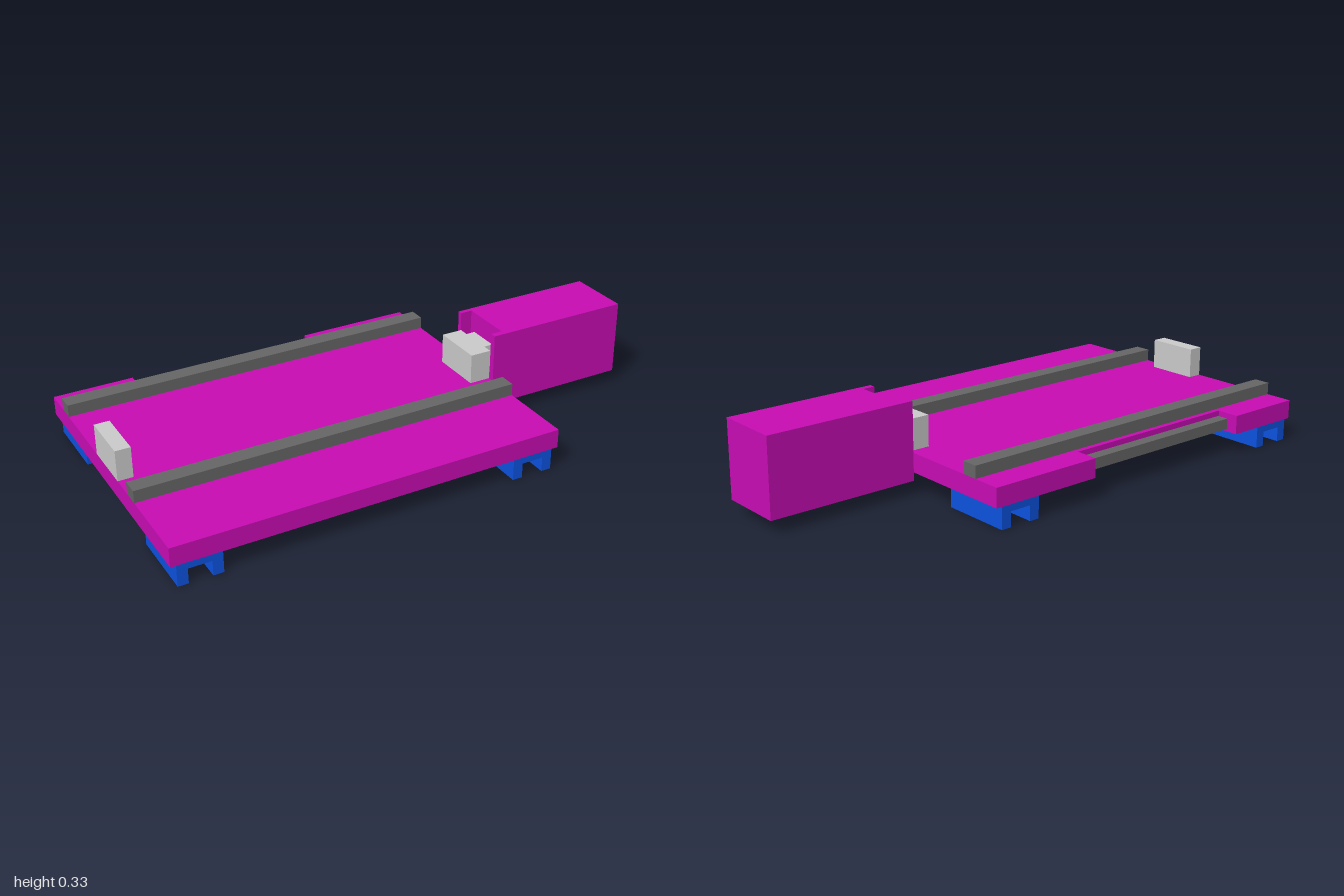
import * as THREE from 'three';

const material = (color) => new THREE.MeshStandardMaterial({ color, flatShading: true });

export function createModel() {
  const model = new THREE.Group();
  const magenta = material(0xc80cb4);
  const darkGrey = material(0x666666);
  const blue = material(0x0c52e0);
  const lightGrey = material(0xcccccc);

  const add = (name, geometry, mat, parent = model) => {
    const mesh = new THREE.Mesh(geometry, mat);
    mesh.name = name;
    parent.add(mesh);
    return mesh;
  };

  // Box given by its limits on each axis
  const box = (name, mat, [x0, x1], [y0, y1], [z0, z1], parent) =>
    add(name, new THREE.BoxGeometry(x1 - x0, y1 - y0, z1 - z0)
      .translate((x0 + x1) / 2, (y0 + y1) / 2, (z0 + z1) / 2), mat, parent);

  // Floor plan given as [x, z] points, raised from y0 to y1
  const slab = (name, mat, points, y0, y1, parent) => {
    const shape = new THREE.Shape(points.map(([x, z]) => new THREE.Vector2(x, -z)));
    const geometry = new THREE.ExtrudeGeometry(shape, { depth: y1 - y0, bevelEnabled: false });
    return add(name, geometry.rotateX(-Math.PI / 2).translate(0, y0, 0), mat, parent);
  };

  // Base plate with a long notch in the back edge
  slab('basePlate', magenta, [
    [-1, 0.54], [0.44, 0.54], [0.44, -0.54], [0.01, -0.54],
    [0.01, -0.455], [-0.7, -0.455], [-0.7, -0.54], [-1, -0.54],
  ], 0.08, 0.15);

  // Bar lying inside the notch
  box('notchBar', darkGrey, [-0.698, 0.006], [0.09, 0.13], [-0.498, -0.455]);

  // Two linear rails
  for (const [name, z] of [['frontRail', 0.225], ['backRail', -0.405]]) {
    box(name, darkGrey, [-1, 0.44], [0.15, 0.195], [z - 0.031, z + 0.031]);
  }

  // End bearing, and drive bearing with a boss reaching into the motor
  box('endBearing', lightGrey, [-1, -0.945], [0.15, 0.263], [-0.088, 0.108]);
  box('driveBearing', lightGrey, [0.36, 0.44], [0.15, 0.263], [-0.088, 0.108]);
  box('driveBoss', lightGrey, [0.44, 0.475], [0.15, 0.263], [-0.05, 0.07]);

  // Motor housing with a recess facing the drive bearing
  const motor = new THREE.Group();
  motor.name = 'motorHousing';
  model.add(motor);
  box('motorBase', magenta, [0.44, 1], [0.05, 0.15], [-0.108, 0.133], motor);
  slab('motorBody', magenta, [
    [0.44, 0.133], [1, 0.133], [1, -0.108], [0.44, -0.108],
    [0.44, -0.09], [0.485, -0.09], [0.485, 0.11], [0.44, 0.11],
  ], 0.15, 0.332, motor);

  // Four feet: channels open at the bottom and at both ends
  const footShape = new THREE.Shape([
    [-0.078, 0], [-0.041, 0], [-0.041, 0.055], [0.041, 0.055],
    [0.041, 0], [0.078, 0], [0.078, 0.08], [-0.078, 0.08],
  ].map(([x, y]) => new THREE.Vector2(x, y)));
  const footGeometry = new THREE.ExtrudeGeometry(footShape, { depth: 0.26, bevelEnabled: false });
  for (const x of [-0.902, 0.338]) {
    for (const z of [-0.538, 0.278]) {
      add('foot', footGeometry, blue).position.set(x, 0, z);
    }
  }

  return model;
}
